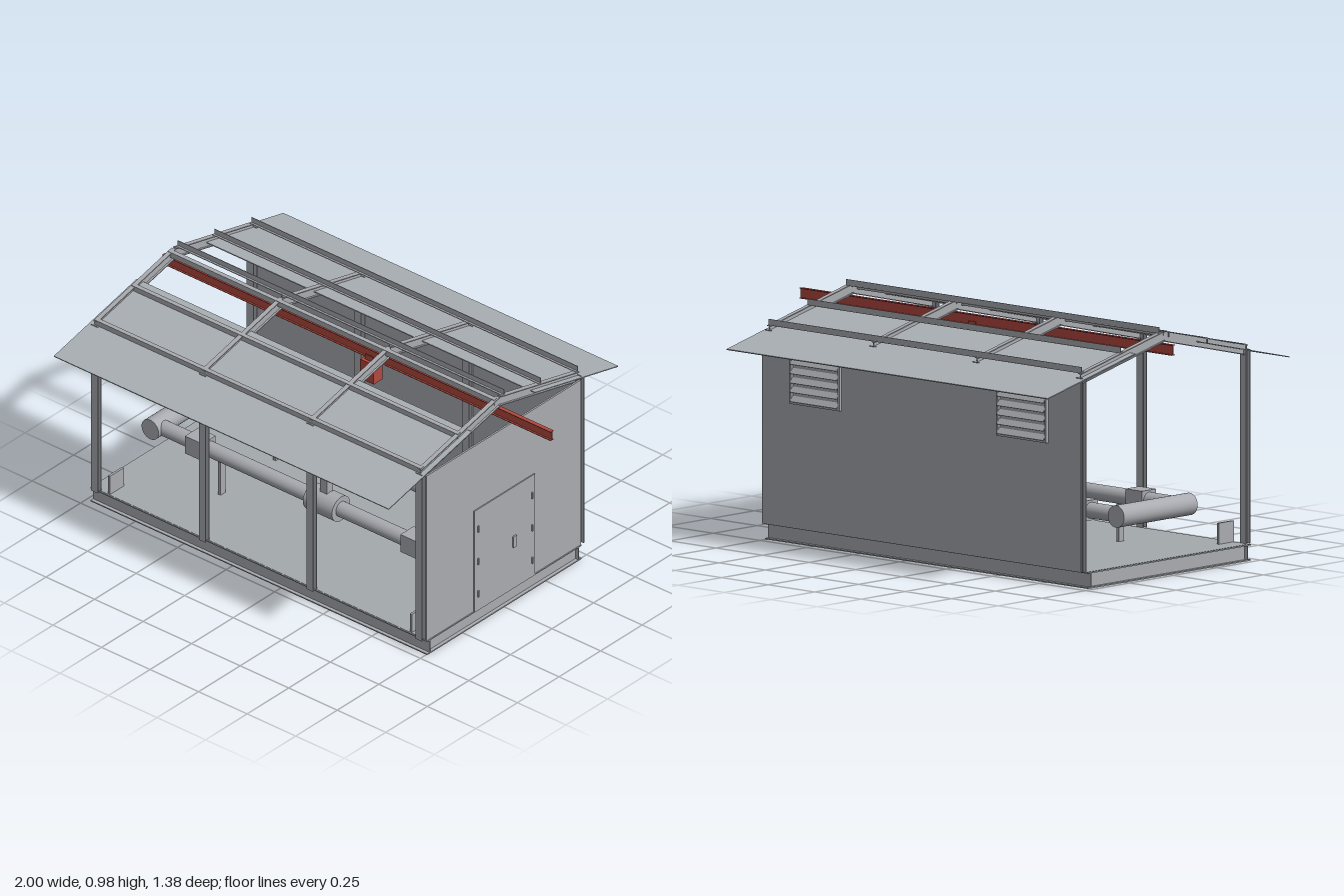
import * as THREE from 'three';

const mat = (name, color, side = THREE.FrontSide) => {
  const m = new THREE.MeshStandardMaterial({ color, side });
  m.name = name;
  return m;
};

export function createModel() {
  const steel = mat('grey steel', 0xa9abb0);
  const sheet = mat('roof sheet grey', 0xaab0b4);
  const deck = mat('floor grey', 0xa4abad);
  const red = mat('crane red', 0xb2483e);

  const root = new THREE.Group();
  root.name = 'equipmentShelter';

  const add = (name, geo, material, x, y, z) => {
    const mesh = new THREE.Mesh(geo, material);
    mesh.name = name;
    mesh.position.set(x, y, z);
    root.add(mesh);
    return mesh;
  };
  const box = (name, m, w, h, d, x, y, z) => add(name, new THREE.BoxGeometry(w, h, d), m, x, y, z);

  // I-section of width x and depth y, running along z and centred
  const iBeam = (name, m, length, width, depth, t, x, y, z) => {
    const a = width / 2, b = depth / 2, w = t / 2;
    const shape = new THREE.Shape([
      [-a, -b], [a, -b], [a, -b + t], [w, -b + t], [w, b - t], [a, b - t],
      [a, b], [-a, b], [-a, b - t], [-w, b - t], [-w, -b + t], [-a, -b + t],
    ].map(([px, py]) => new THREE.Vector2(px, py)));
    const geo = new THREE.ExtrudeGeometry(shape, { depth: length, bevelEnabled: false });
    geo.translate(0, 0, -length / 2);
    return add(name, geo, m, x, y, z);
  };
  const pipe = (name, r, length, axis, x, y, z) => {
    const geo = new THREE.CylinderGeometry(r, r, length, 32);
    if (axis === 'x') geo.rotateZ(Math.PI / 2);
    if (axis === 'z') geo.rotateX(Math.PI / 2);
    return add(name, geo, steel, x, y, z);
  };

  const x0 = -0.98, x1 = 0.755, midX = (x0 + x1) / 2, lenX = x1 - x0;
  const frameX = [-0.945, -0.39, 0.165, 0.725];

  // Skid: perimeter beams, cross beams and deck
  for (const s of [-1, 1]) {
    iBeam('skidSideBeam', steel, lenX, 0.035, 0.065, 0.005, midX, 0.0325, s * 0.447)
      .rotation.y = Math.PI / 2;
  }
  for (let i = 0; i <= 6; i++) {
    const x = x0 + 0.0175 + (i / 6) * (lenX - 0.035);
    const end = i === 0 || i === 6;
    iBeam('skidCrossBeam', steel, 0.89, 0.035, end ? 0.065 : 0.058, 0.005, x, end ? 0.0325 : 0.03, 0);
  }
  box('floor', deck, lenX - 0.01, 0.006, 0.92, midX, 0.063, 0);

  // Posts along both long sides
  for (const z of [-0.467, 0.469]) {
    for (const x of frameX) {
      iBeam('post', steel, 0.77, 0.034, 0.024, 0.004, x, 0.45, z).rotation.x = Math.PI / 2;
    }
  }

  // Closed walls: back and right end
  box('backWall', steel, 1.71, 0.765, 0.006, -0.103, 0.4475, -0.482);
  box('endWall', steel, 0.008, 0.762, 0.93, 0.748, 0.446, 0);

  // Door with hinges and handle
  box('door', steel, 0.006, 0.465, 0.364, 0.754, 0.2975, 0);
  for (const z of [-0.162, 0.162]) {
    for (const y of [0.14, 0.29, 0.44]) box('doorHinge', steel, 0.008, 0.028, 0.006, 0.759, y, z);
  }
  box('doorHandle', steel, 0.008, 0.05, 0.02, 0.76, 0.28, -0.055);

  // Louvred vents on the back wall
  for (const x of [0.46, -0.65]) {
    const w = 0.27, yc = 0.652, h = 0.185;
    for (const s of [-1, 1]) {
      box('ventFrameSide', steel, 0.01, h, 0.012, x + s * (w / 2 - 0.005), yc, -0.491);
      box('ventFrameRail', steel, w, 0.01, 0.012, x, yc + s * (h / 2 - 0.005), -0.491);
    }
    for (let i = 0; i < 5; i++) {
      box('ventSlat', steel, w - 0.02, 0.026, 0.003, x, 0.58 + i * 0.037, -0.495).rotation.x = 0.6;
    }
  }

  // Pitched roof: rafters, purlins and the lower roof sheets
  const slope = 0.236, pitch = Math.atan(slope);
  const lineY = (z) => 0.943 - slope * Math.abs(z);
  for (const s of [-1, 1]) {
    for (const x of frameX) {
      iBeam('rafter', steel, 0.47 / Math.cos(pitch), 0.02, 0.042, 0.004, x, lineY(0.235), s * 0.235)
        .rotation.x = s * pitch;
    }
    for (const z of [0.022, 0.242, 0.465]) {
      const top = lineY(z) + 0.021;
      const up = s < 0 ? 1 : -1;
      box('purlinFlange', steel, 1.68, 0.003, 0.016, -0.111, top + 0.001, s * z).rotation.x = s * pitch;
      box('purlinLeg', steel, 1.68, 0.023, 0.003, -0.111, top + up * 0.0115, s * (z + 0.0065));
    }
    box('roofSheet', sheet, lenX - 0.01, 0.004, 0.5 / Math.cos(pitch), midX, lineY(0.44), s * 0.44)
      .rotation.x = s * pitch;
  }

  // Overhead crane beam and hoist
  iBeam('craneBeam', red, 2, 0.018, 0.042, 0.003, 0, 0.893, 0).rotation.y = Math.PI / 2;
  box('hoist', red, 0.07, 0.09, 0.054, 0.07, 0.82, 0);
  for (const s of [-1, 1]) box('hoistHanger', red, 0.04, 0.03, 0.004, 0.07, 0.873, s * 0.012);

  // Pipework: two headers joined by two runs with fittings
  const py = 0.246;
  for (const x of [-0.89, 0.665]) pipe('headerPipe', 0.044, 0.42, 'z', x, py, 0);
  for (const z of [-0.167, 0.165]) {
    pipe('runPipe', 0.032, 1.555, 'x', -0.1125, py, z);
    for (const x of [-0.67, 0.44]) box('pipeCoupling', steel, 0.09, 0.08, 0.08, x, py, z);
    pipe('valveBody', 0.055, 0.15, 'x', -0.02, py, z);
    box('valveStem', steel, 0.036, 0.1, 0.036, -0.02, 0.335, z);
    for (const x of [-0.56, 0.55]) box('pipeSupport', steel, 0.014, 0.152, 0.03, x, 0.141, z);
  }

  // Upright lugs on the deck beside the front corners
  for (const x of [-0.89, 0.665]) box('deckLug', steel, 0.01, 0.084, 0.085, x, 0.108, 0.415);

  return root;
}
